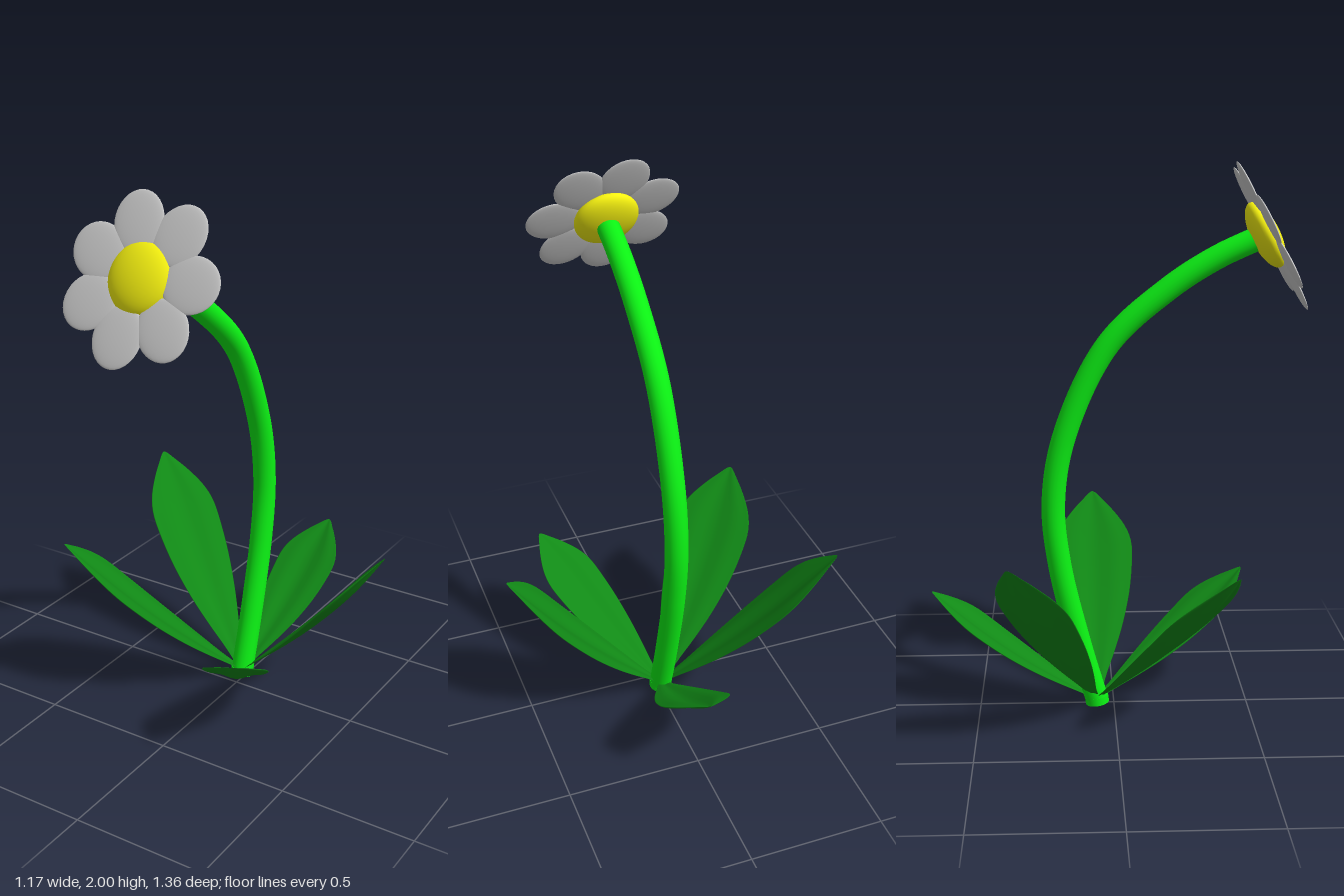
import * as THREE from 'three';

const mat = (color) => new THREE.MeshStandardMaterial({ color });
const V = (x, y, z) => new THREE.Vector3(x, y, z);

function part(name, geometry, material) {
  const mesh = new THREE.Mesh(geometry, material);
  mesh.name = name;
  return mesh;
}

// Half-width of a leaf along its length (t, fraction of the widest point)
const OUTLINE = [[0, 0.1], [0.1, 0.24], [0.22, 0.48], [0.35, 0.71], [0.5, 0.9], [0.64, 0.99],
  [0.74, 0.99], [0.82, 0.84], [0.9, 0.54], [0.96, 0.25], [0.99, 0.1], [1, 0.02]];

// Thin cupped leaf made of closed cross-sections from base to tip
function leafGeometry(base, tip, halfWidth) {
  const SIDES = 32;
  const dir = tip.clone().sub(base);
  const across = V(dir.z, 0, -dir.x).normalize();
  const up = dir.clone().normalize().cross(across);
  const outline = new THREE.SplineCurve(OUTLINE.map(([t, w]) => new THREE.Vector2(t, w)));
  const positions = [], index = [];
  const rows = 36;
  for (let i = 0; i <= rows; i++) {
    const p = outline.getPoint(i / rows);
    const sag = -0.025 * Math.sin(Math.PI * p.x);
    for (let j = 0; j < SIDES; j++) {
      const a = (j / SIDES) * Math.PI * 2;
      const s = Math.cos(a);
      // cup, midrib crease and lens-shaped thickness
      const lift = p.y * (0.02 * s * s - 0.005 * Math.cos(s * Math.PI * 2) + 0.009 * Math.sin(a));
      const v = base.clone().addScaledVector(dir, p.x)
        .addScaledVector(across, s * p.y * halfWidth)
        .addScaledVector(up, sag + lift);
      positions.push(v.x, v.y, v.z);
      if (i < rows) {
        const k = (j + 1) % SIDES, r = i * SIDES, n = r + SIDES;
        index.push(r + j, n + k, r + k, r + j, n + j, n + k);
      }
    }
  }
  const g = new THREE.BufferGeometry();
  g.setAttribute('position', new THREE.Float32BufferAttribute(positions, 3));
  g.setIndex(index);
  g.computeVertexNormals();
  return g;
}

export function createModel() {
  const model = new THREE.Group();
  model.name = 'flower';
  const stemMat = mat(0x0cf014), leafMat = mat(0x118a16);
  leafMat.side = THREE.DoubleSide;
  const petalMat = mat(0xcccccc), centreMat = mat(0xf4f010);

  // Stem arching back, then forward to the bloom
  const path = new THREE.CatmullRomCurve3([
    V(-0.013, 0.012, -0.062), V(-0.013, 0.25, -0.13), V(-0.013, 0.55, -0.2), V(-0.013, 0.78, -0.221),
    V(-0.013, 1.03, -0.18), V(-0.013, 1.36, -0.025), V(-0.013, 1.56, 0.19), V(-0.013, 1.67, 0.36),
    V(-0.013, 1.74, 0.51),
  ]);
  model.add(part('stem', new THREE.TubeGeometry(path, 64, 0.043, 20), stemMat));
  const foot = part('stemFoot', new THREE.CylinderGeometry(0.044, 0.044, 0.028, 20), stemMat);
  foot.position.set(-0.013, 0.02, -0.064);
  foot.rotation.x = -0.15;
  model.add(foot);

  // Leaves: tip position and half width
  const base = V(-0.013, 0.02, -0.065);
  const leaves = [
    ['backLeaf', V(0.03, 0.435, -0.675), 0.126],
    ['leftLeaf', V(0.58, 0.67, -0.065), 0.153],
    ['frontLeftLeaf', V(0.3, 0.43, 0.51), 0.118],
    ['frontRightLeaf', V(-0.49, 0.64, 0.405), 0.156],
    ['backRightLeaf', V(-0.585, 0.71, -0.37), 0.139],
  ];
  for (const [name, tip, w] of leaves) model.add(part(name, leafGeometry(base, tip, w), leafMat));

  // Bloom tilted up and forward
  const bloom = new THREE.Group();
  bloom.name = 'bloom';
  bloom.position.set(-0.013, 1.75, 0.549);
  bloom.rotation.x = THREE.MathUtils.degToRad(-27);
  const centre = part('flowerCentre', new THREE.SphereGeometry(1, 40, 24), centreMat);
  centre.scale.set(0.122, 0.125, 0.05);
  centre.position.set(-0.006, 0.008, -0.016);
  bloom.add(centre);

  // Ring of seven flat rounded petals
  for (let i = 0; i < 7; i++) {
    const a = (i / 7) * Math.PI * 2 + 0.07;
    const petal = part('petal', new THREE.SphereGeometry(1, 32, 16), petalMat);
    petal.scale.set(0.105, 0.093, 0.009);
    petal.position.set(Math.cos(a) * 0.19, Math.sin(a) * 0.19, 0);
    petal.rotation.z = a;
    bloom.add(petal);
  }
  model.add(bloom);
  return model;
}
